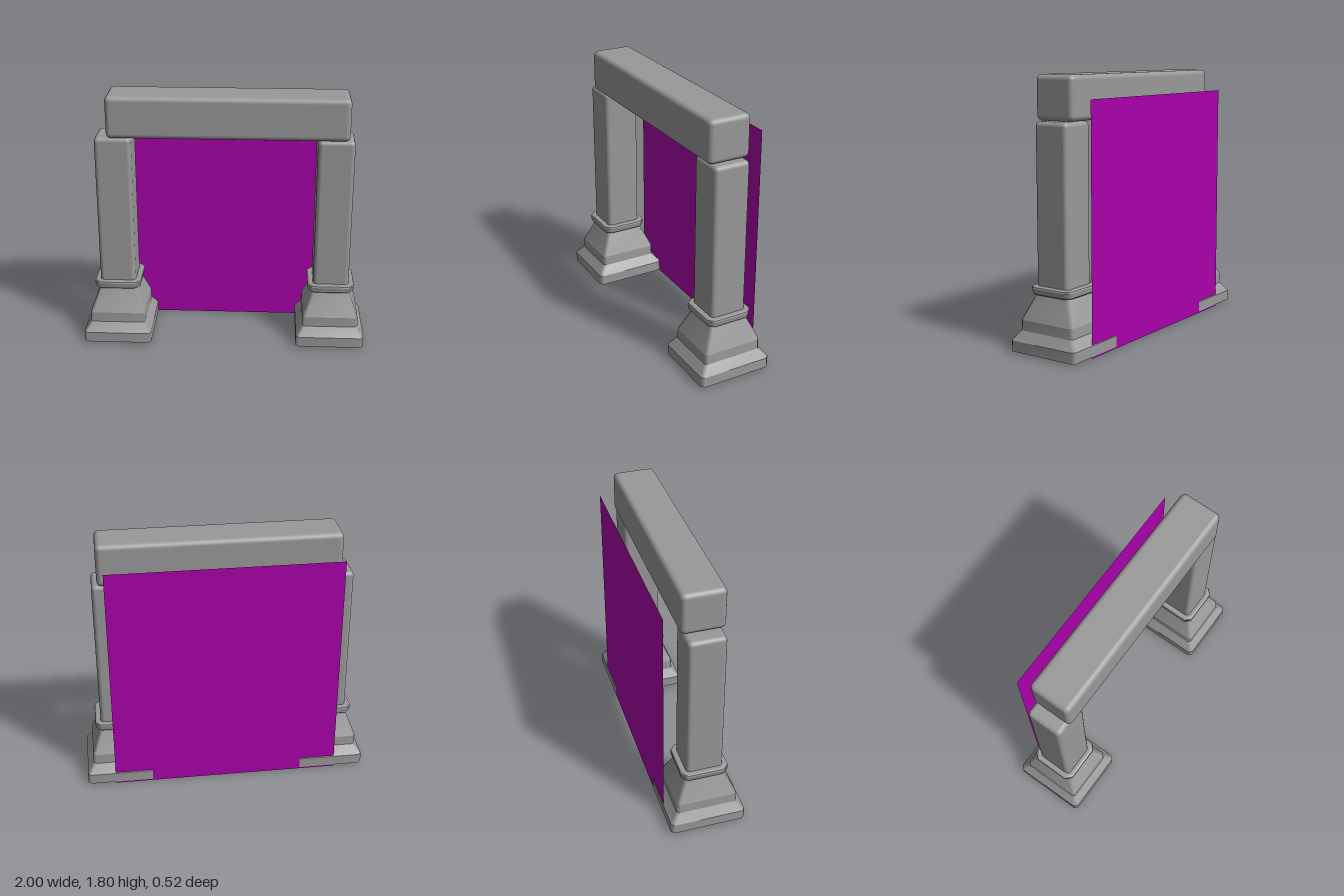
import * as THREE from 'three';
import { mergeGeometries } from 'three/addons/utils/BufferGeometryUtils.js';
import { RoundedBoxGeometry } from 'three/addons/geometries/RoundedBoxGeometry.js';

const stone = new THREE.MeshStandardMaterial({ color: 0x999999 });
const curtain = new THREE.MeshStandardMaterial({ color: 0xaa00aa, side: THREE.DoubleSide });

// Rectangle with cut corners, counter-clockwise seen from above
function section([y, hx, hz, c]) {
  const ix = hx - c, iz = hz - c;
  return [[hx, iz], [hx, -iz], [ix, -hz], [-ix, -hz], [-hx, -iz], [-hx, iz], [-ix, hz], [ix, hz]]
    .map(([x, z]) => [x, y, z]);
}

function surface(points, index) {
  const geometry = new THREE.BufferGeometry();
  geometry.setAttribute('position', new THREE.Float32BufferAttribute(points.flat(), 3));
  geometry.setIndex(index);
  geometry.computeVertexNormals();
  return geometry;
}

// Closed solid through stacked sections, bottom to top:
// smooth around the corners, sharp between the tiers
function loft(levels) {
  const rings = levels.map(section);
  const n = rings[0].length;
  const band = [], topCap = [], bottomCap = [];
  for (let i = 0; i < n; i++) {
    const j = (i + 1) % n;
    band.push(i, j, n + j, i, n + j, n + i);
  }
  for (let i = 1; i < n - 1; i++) {
    topCap.push(0, i, i + 1);
    bottomCap.push(0, i + 1, i);
  }
  const parts = [surface(rings[0], bottomCap), surface(rings[rings.length - 1], topCap)];
  for (let r = 0; r < rings.length - 1; r++) {
    parts.push(surface([...rings[r], ...rings[r + 1]], band));
  }
  return mergeGeometries(parts);
}

function addMesh(parent, name, geometry, material, x = 0, y = 0, z = 0) {
  const mesh = new THREE.Mesh(geometry, material);
  mesh.name = name;
  mesh.position.set(x, y, z);
  parent.add(mesh);
}

function createPillar(name, x) {
  const pillar = new THREE.Group();
  pillar.name = name;
  pillar.position.x = x;

  // Stepped, flaring foot: [height, half width, half depth, corner cut]
  addMesh(pillar, 'base', loft([
    [0.012, 0.24, 0.262, 0.022],
    [0.085, 0.24, 0.262, 0.022],
    [0.15, 0.197, 0.212, 0.02],
    [0.22, 0.195, 0.21, 0.02],
    [0.39, 0.13, 0.135, 0.02],
  ]), stone);

  // Collar between foot and shaft
  addMesh(pillar, 'collar', loft([
    [0.388, 0.148, 0.15, 0.035],
    [0.396, 0.158, 0.16, 0.038],
    [0.43, 0.165, 0.165, 0.04],
    [0.44, 0.162, 0.162, 0.04],
    [0.445, 0.15, 0.15, 0.038],
  ]), stone);

  addMesh(pillar, 'shaft', new RoundedBoxGeometry(0.252, 1.12, 0.255, 3, 0.03), stone, 0, 0.945, 0);
  return pillar;
}

export function createModel() {
  const model = new THREE.Group();
  model.name = 'gateway';

  model.add(createPillar('leftPillar', 0.757), createPillar('rightPillar', -0.759));

  // Beam across the pillars, slightly off-centre
  addMesh(model, 'lintel', new RoundedBoxGeometry(1.642, 0.293, 0.298, 3, 0.035), stone, 0.0235, 1.653, 0);

  // Thin coloured sheet behind the opening
  addMesh(model, 'backPanel', new THREE.PlaneGeometry(1.59, 1.65), curtain, 0.005, 0.825, -0.258);

  return model;
}
